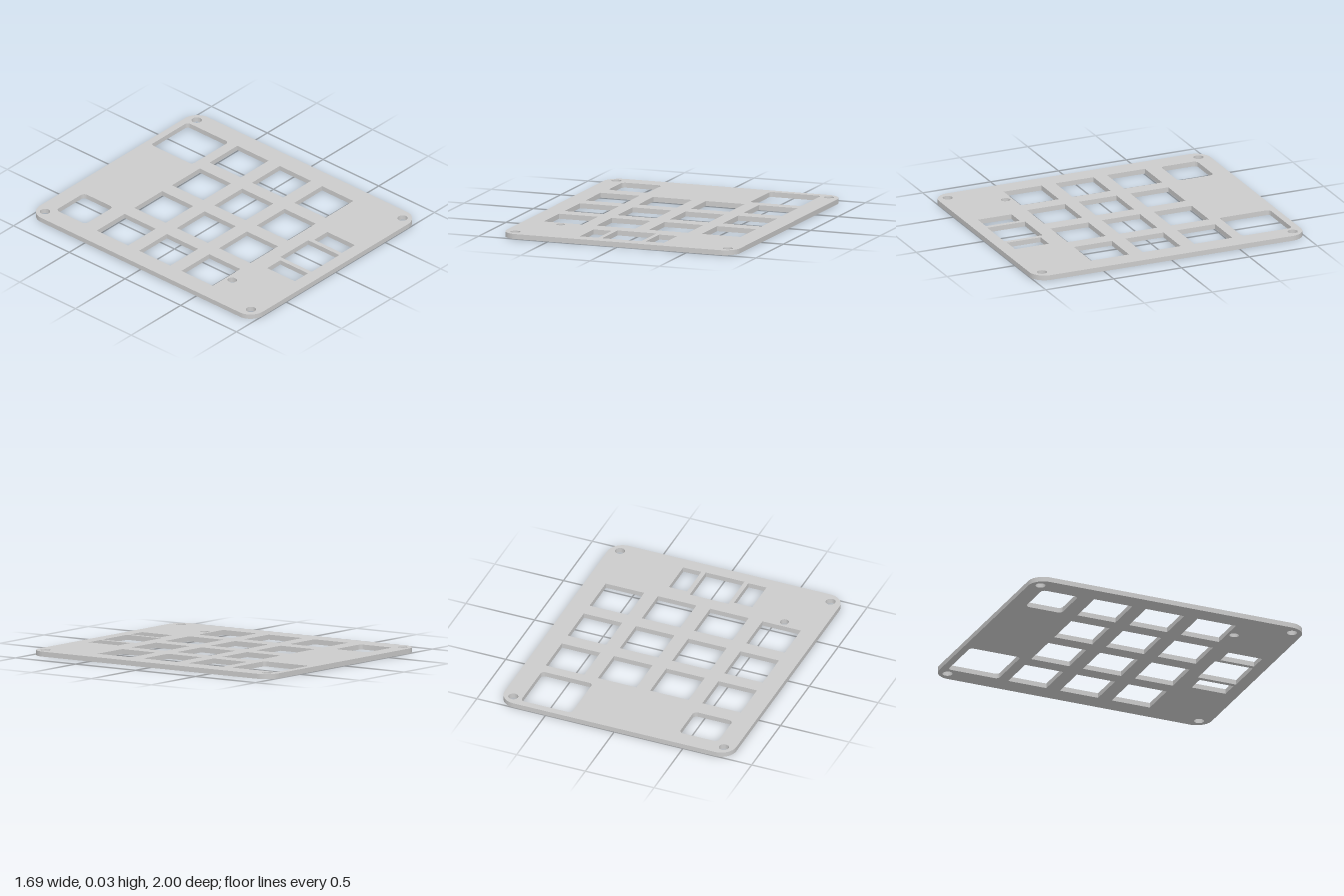
import * as THREE from 'three';
import { toCreasedNormals } from 'three/addons/utils/BufferGeometryUtils.js';

const THICKNESS = 0.034;

// Rectangle centred on (x, z), with optional rounded corners; shape y is -z.
function rect(path, x, z, w, d, r = 0) {
  const x0 = x - w / 2, x1 = x + w / 2, y0 = -z - d / 2, y1 = -z + d / 2;
  if (r === 0) {
    path.moveTo(x0, y0).lineTo(x1, y0).lineTo(x1, y1).lineTo(x0, y1).closePath();
    return path;
  }
  path.moveTo(x0 + r, y0);
  path.lineTo(x1 - r, y0).absarc(x1 - r, y0 + r, r, -Math.PI / 2, 0);
  path.lineTo(x1, y1 - r).absarc(x1 - r, y1 - r, r, 0, Math.PI / 2);
  path.lineTo(x0 + r, y1).absarc(x0 + r, y1 - r, r, Math.PI / 2, Math.PI);
  path.lineTo(x0, y0 + r).absarc(x0 + r, y0 + r, r, Math.PI, Math.PI * 1.5);
  return path;
}

export function createModel() {
  const group = new THREE.Group();
  group.name = 'keypadPlate';

  const plate = rect(new THREE.Shape(), 0, 0, 1.686, 2, 0.11);
  const cut = (...args) => plate.holes.push(rect(new THREE.Path(), ...args));

  // Corner screw holes
  for (const x of [-0.766, 0.766]) {
    for (const z of [-0.925, 0.922]) {
      plate.holes.push(new THREE.Path().absarc(x, -z, 0.034, 0, Math.PI * 2));
    }
  }

  // Grid of key openings, four across and three deep
  for (let col = 0; col < 4; col++) {
    for (let row = 0; row < 3; row++) {
      cut(-0.574 + col * 0.38, -0.367 + row * 0.38, 0.28, 0.28);
    }
  }

  // Rounded windows along the back
  cut(-0.563, -0.751, 0.282, 0.264, 0.03);
  cut(0.517, -0.766, 0.37, 0.37, 0.026);

  // Wide front key with a stabiliser slot on each side
  cut(-0.003, 0.773, 0.28, 0.28);
  for (const side of [-1, 1]) cut(-0.003 + side * 0.237, 0.784, 0.132, 0.248);

  // Small slotted hole
  cut(-0.573, 0.583, 0.058, 0.064, 0.028);

  const geometry = new THREE.ExtrudeGeometry(plate, {
    depth: THICKNESS, bevelEnabled: false, curveSegments: 16,
  });
  geometry.rotateX(-Math.PI / 2);

  const mesh = new THREE.Mesh(
    toCreasedNormals(geometry, 0.6),
    new THREE.MeshStandardMaterial({ color: 0xcccccc }),
  );
  mesh.name = 'plate';
  group.add(mesh);
  return group;
}
